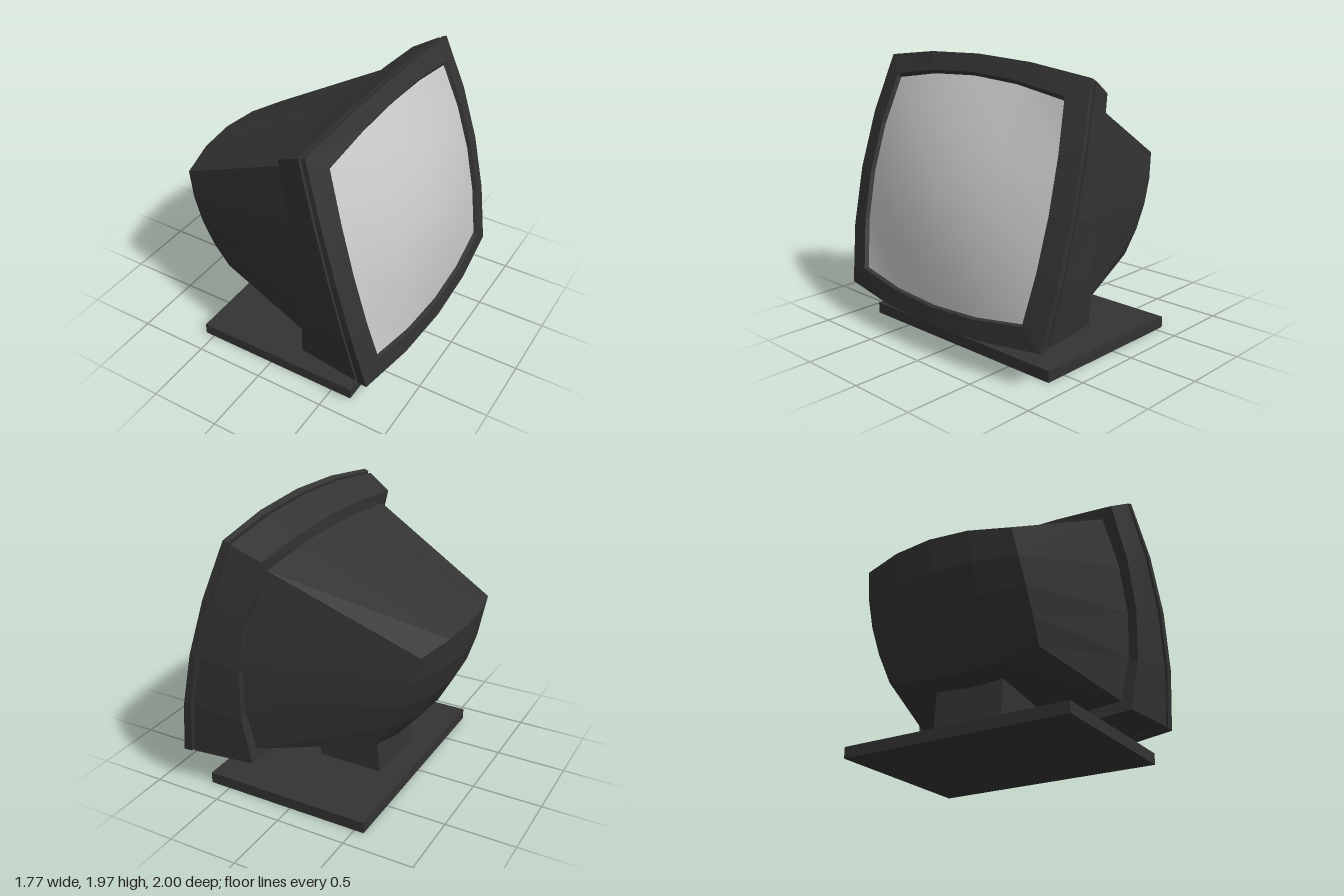
import * as THREE from 'three';

const V = (p) => new THREE.Vector3(p[0], p[1], p[2] || 0);
const N = 4; // segments per bowed edge

// Point on a bowed edge from a to b that passes through m halfway
function bow(a, m, b, t) {
  const p = a.clone().lerp(b, t);
  const off = m.clone().sub(a.clone().lerp(b, 0.5));
  return p.addScaledVector(off, 4 * t * (1 - t));
}

// Four-sided ring with bowed edges: top middle, top corner, side middle, bottom corner, bottom middle
function ring(tm, tc, sm, bc, bm, shift = 0) {
  const flip = (p) => [p[0], p[1], -p[2]];
  const knots = [tc, tm, flip(tc), flip(sm), flip(bc), bm, bc, sm].map(V);
  knots.forEach((k) => { k.z += shift; });
  const pts = [];
  for (let e = 0; e < 4; e++) {
    for (let i = 0; i < N; i++) {
      pts.push(bow(knots[e * 2], knots[e * 2 + 1], knots[(e * 2 + 2) % 8], i / N));
    }
  }
  return pts;
}

// Shrink a ring towards its centre
function inset(r, k) {
  const c = r.reduce((s, p) => s.add(p), new THREE.Vector3()).divideScalar(r.length);
  return r.map((p) => p.clone().lerp(c, k));
}

function build(points, index, flat) {
  let g = new THREE.BufferGeometry().setFromPoints(points);
  g.setIndex(index);
  if (flat) g = g.toNonIndexed();
  g.computeVertexNormals();
  return g;
}

// Skin through rings, ordered from the rear round the outside to the front
function loft(rings) {
  const n = rings[0].length, index = [];
  for (let k = 0; k < rings.length - 1; k++) {
    for (let i = 0; i < n; i++) {
      const j = (i + 1) % n;
      const a = k * n + i, b = k * n + j, c = b + n, d = a + n;
      index.push(a, d, c, a, c, b);
    }
  }
  return build(rings.flat(), index, true);
}

// Curved panel filling a ring, pushed out by a bulge vector at its centre
function panel(r, bulge, facesFront, flat) {
  const pts = [], index = [], w = N + 1;
  const T = (s) => r[s], B = (s) => r[3 * N - s];
  const L = (t) => r[(4 * N - t) % (4 * N)], R = (t) => r[N + t];
  for (let j = 0; j <= N; j++) {
    for (let i = 0; i <= N; i++) {
      const s = i / N, t = j / N;
      const p = L(j).clone().lerp(R(j), s).add(T(i).clone().lerp(B(i), t));
      const top = T(0).clone().lerp(T(N), s), bottom = B(0).clone().lerp(B(N), s);
      p.sub(top.lerp(bottom, t));
      pts.push(p.addScaledVector(bulge, 16 * s * (1 - s) * t * (1 - t)));
      if (i < N && j < N) {
        const a = j * w + i, b = a + 1, c = b + w, d = a + w;
        if (facesFront) index.push(a, d, c, a, c, b);
        else index.push(a, c, d, a, b, c);
      }
    }
  }
  return build(pts, index, flat);
}

export function createModel() {
  const model = new THREE.Group();
  model.name = 'monitor';
  const casing = new THREE.MeshStandardMaterial({ color: 0x333333, flatShading: true });
  casing.name = 'dark casing';
  const glass = new THREE.MeshStandardMaterial({ color: 0xc8c8c8 });
  glass.name = 'grey glass';
  const add = (name, geometry, material = casing) => {
    const mesh = new THREE.Mesh(geometry, material);
    mesh.name = name;
    model.add(mesh);
    return mesh;
  };

  // Cross-sections from rear to front
  const rear = ring([-0.89, 1.24], [-0.8, 1.2, 0.565], [-0.69, 0.84, 0.6],
    [-0.5, 0.5, 0.58], [-0.54, 0.42], 0.03);
  const neckline = ring([0.15, 1.74], [0.15, 1.69, 0.785], [0.32, 1.0, 0.86],
    [0.29, 0.355, 0.785], [0.3, 0.315]);
  const collarBack = ring([0.155, 1.82], [0.14, 1.77, 0.86], [0.305, 1.0, 0.93],
    [0.28, 0.28, 0.86], [0.28, 0.235]);
  const collarFront = ring([0.35, 1.94], [0.32, 1.87, 0.915], [0.565, 1.08, 0.985],
    [0.73, 0.28, 0.915], [0.745, 0.217]);
  const bezelBack = ring([0.37, 1.95], [0.34, 1.88, 0.918], [0.59, 1.08, 0.995],
    [0.75, 0.275, 0.918], [0.765, 0.217]);
  const bezelOuter = ring([0.41, 1.97], [0.372, 1.893, 0.92], [0.634, 1.09, 1.0],
    [0.813, 0.273, 0.922], [0.88, 0.215]);
  const bezelInner = ring([0.46, 1.855], [0.45, 1.775, 0.78], [0.668, 1.09, 0.852],
    [0.82, 0.407, 0.775], [0.87, 0.34]);
  const screenEdge = ring([0.445, 1.83], [0.435, 1.748, 0.765], [0.64, 1.09, 0.84],
    [0.79, 0.412, 0.765], [0.84, 0.345]);

  // Tapering cabinet and its rounded back
  add('cabinet', loft([rear, neckline]));
  add('cabinetBack', panel(rear, new THREE.Vector3(-0.04, -0.02, 0), false, true));

  // Collar and front bezel with a thin groove between them
  add('collar', loft([neckline, collarBack, collarFront, inset(collarFront, 0.04)]));
  add('bezel', loft([inset(collarFront, 0.04), inset(bezelBack, 0.04), bezelBack,
    bezelOuter, bezelInner, screenEdge]));

  // Bulging screen
  add('screen', panel(screenEdge, new THREE.Vector3(0.126, 0.034, 0), true, false), glass);

  // Leaning stand post
  const post = new THREE.BoxGeometry(0.48, 0.46, 0.52);
  post.translate(-0.15, 0.3, 0);
  const pos = post.attributes.position;
  for (let i = 0; i < pos.count; i++) {
    pos.setX(i, pos.getX(i) + 0.11 * (pos.getY(i) - 0.08));
  }
  post.computeVertexNormals();
  add('standPost', post);

  // Flat base plate
  add('base', new THREE.BoxGeometry(1.22, 0.08, 1.69)).position.set(0.04, 0.04, 0);

  return model;
}
